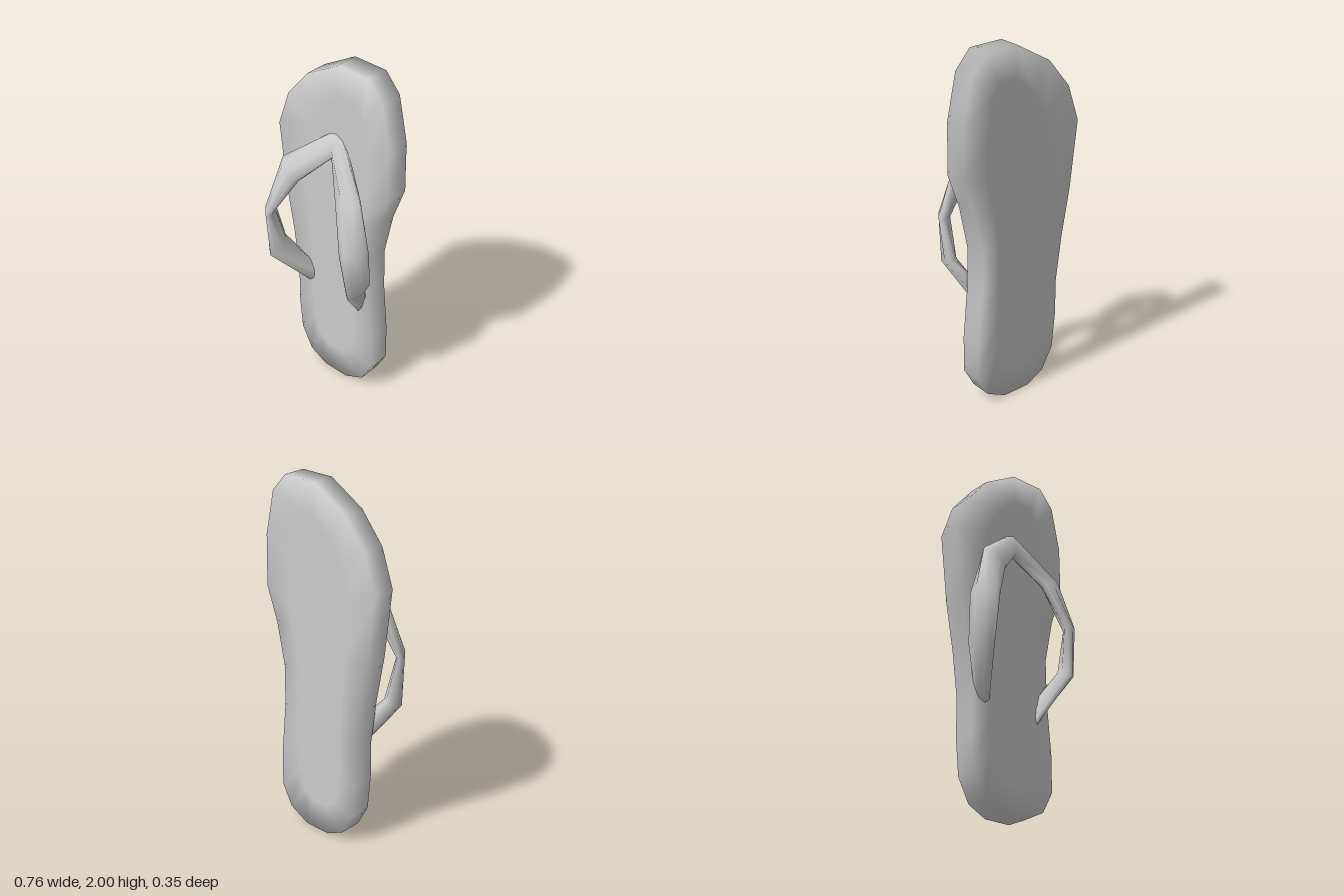
import * as THREE from 'three';

const material = new THREE.MeshStandardMaterial({ color: 0xcccccc });

// Skin a closed solid over rings of points; rings run counter-clockwise about the direction of travel.
function loft(name, rings) {
  const n = rings[0].length;
  const last = rings.length - 1;
  const points = rings.flat();
  const index = [];
  for (let r = 0; r < last; r++) {
    for (let i = 0; i < n; i++) {
      const a = r * n + i;
      const b = r * n + (i + 1) % n;
      index.push(a, b, a + n, b, b + n, a + n);
    }
  }
  // End caps as fans around the ring centre
  for (const r of [0, last]) {
    const centre = new THREE.Vector3();
    rings[r].forEach((p) => centre.addScaledVector(p, 1 / n));
    const c = points.push(centre) - 1;
    for (let i = 0; i < n; i++) {
      const a = r * n + i;
      const b = r * n + (i + 1) % n;
      if (r === 0) index.push(c, b, a);
      else index.push(c, a, b);
    }
  }
  const geometry = new THREE.BufferGeometry().setFromPoints(points);
  geometry.setIndex(index);
  geometry.computeVertexNormals();
  const mesh = new THREE.Mesh(geometry, material);
  mesh.name = name;
  return mesh;
}

// Sole outline, counter-clockwise from the toe
const outline = [
  [0.23, 2], [0.03, 2], [-0.175, 1.88], [-0.31, 1.715], [-0.38, 1.51], [-0.335, 1.13],
  [-0.285, 0.86], [-0.25, 0.6], [-0.25, 0.39], [-0.23, 0.185], [-0.16, 0.055], [-0.05, 0],
  [0.11, 0], [0.23, 0.06], [0.295, 0.18], [0.293, 0.39], [0.265, 0.68], [0.26, 0.92],
  [0.31, 1.165], [0.38, 1.365], [0.375, 1.65], [0.32, 1.9],
];

function makeSole() {
  const back = -0.178;
  const front = -0.05;
  const rim = (z) => outline.map(([x, y]) => new THREE.Vector3(x, y, z));
  // Inner ring keeps the middle of each face flat while the rim shades softly
  const inset = (z) => outline.map(([x, y]) => {
    const middle = 0.02 + 0.03 * (y - 1);
    return new THREE.Vector3(middle + (x - middle) * 0.55, 1 + (y - 1) * 0.83, z);
  });
  return loft('sole', [inset(back), rim(back), rim(front), inset(front)]);
}

// Strap sections: centre, half-width towards the outer edge, half-depth towards the front
const sections = [
  [[-0.17, 0.62, -0.07], [-0.05, -0.01, 0], [0.015, -0.08, 0]],
  [[-0.295, 0.81, 0.07], [-0.045, -0.01, -0.01], [0.01, -0.03, 0.07]],
  [[-0.308, 1.08, 0.11], [-0.042, 0.015, -0.03], [0.025, 0, 0.06]],
  [[-0.2, 1.35, 0.055], [-0.065, 0.045, -0.01], [0.01, 0, 0.035]],
  [[0.02, 1.55, -0.06], [0.005, 0.08, -0.01], [0, -0.02, 0.045]],
  [[0.2, 1.32, 0.055], [0.07, 0.035, -0.01], [-0.01, 0, 0.035]],
  [[0.29, 1.06, 0.105], [0.053, 0.01, -0.02], [-0.025, 0, 0.055]],
  [[0.292, 0.81, 0.07], [0.035, 0, -0.01], [-0.01, -0.03, 0.07]],
  [[0.2, 0.61, -0.07], [0.025, 0.015, 0], [-0.015, -0.1, 0]],
];

function makeStrap() {
  const sides = 8;
  return loft('strap', sections.map(([c, u, v]) => Array.from({ length: sides }, (_, i) => {
    const angle = (i / sides) * Math.PI * 2;
    return new THREE.Vector3(...c)
      .addScaledVector(new THREE.Vector3(...u), Math.cos(angle))
      .addScaledVector(new THREE.Vector3(...v), Math.sin(angle));
  })));
}

export function createModel() {
  const sandal = new THREE.Group();
  sandal.name = 'sandal';
  sandal.add(makeSole(), makeStrap());
  return sandal;
}
